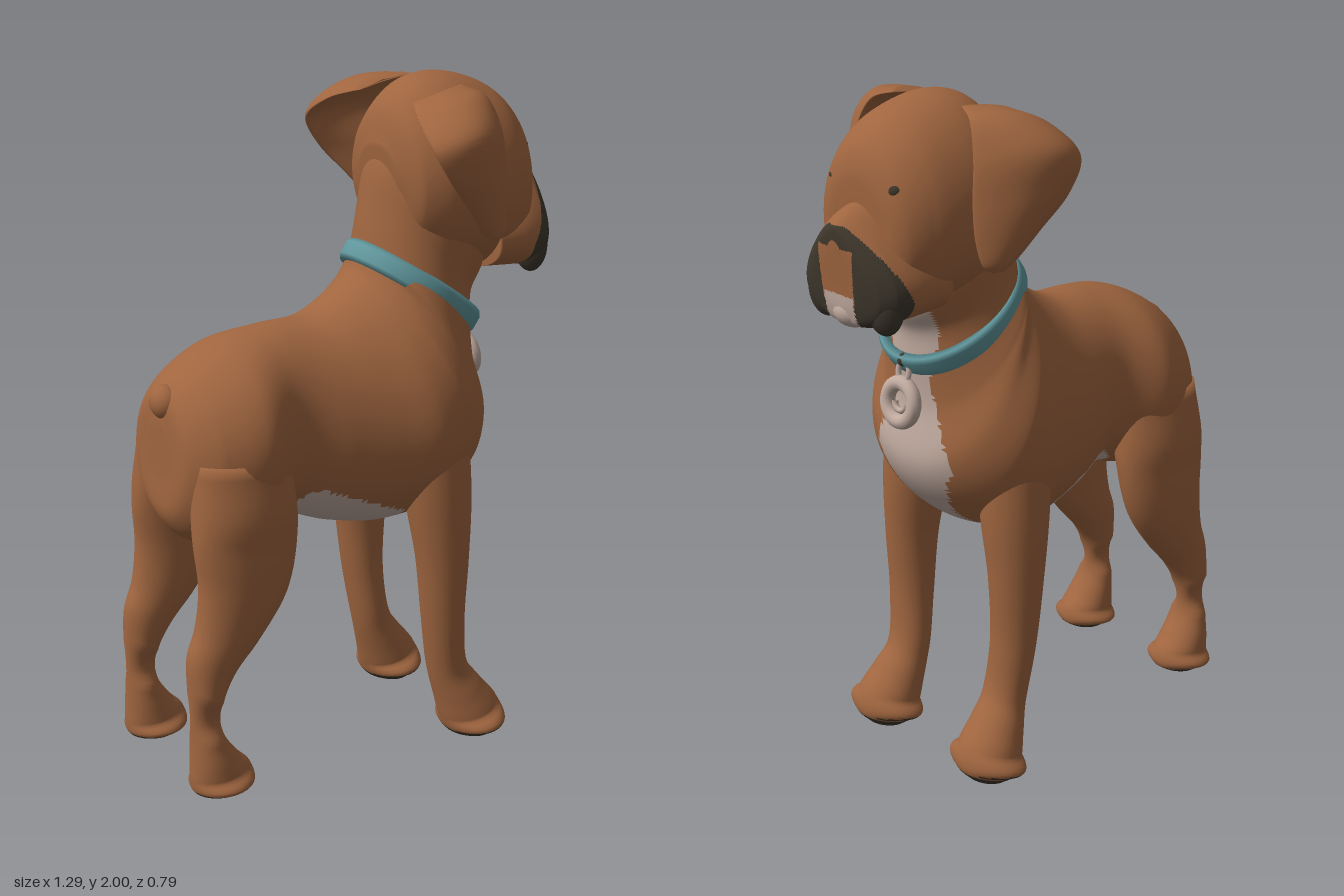
import * as THREE from 'three';

const mat = (name, color) => {
  const m = new THREE.MeshStandardMaterial({ color });
  m.name = name;
  return m;
};

// Smooth skin through rings [ax,ay,az, bx,by,bz, halfWidth, egg, bow].
// Each ring is an oval from a to b, widened along dir; rule picks a material index per face.
function loft(rings, { dir = [0, 0, 1], steps = 60, seg = 48, rule = () => 0 } = {}) {
  const curve = (f) => new THREE.CatmullRomCurve3(rings.map((r) => new THREE.Vector3(...f(r))));
  const ca = curve((r) => r.slice(0, 3)), cb = curve((r) => r.slice(3, 6));
  const cw = curve((r) => [r[6], r[7] || 0, r[8] || 0]);
  const d = new THREE.Vector3(...dir).normalize();
  const pts = [];
  for (let i = 0; i <= steps; i++) {
    const a = ca.getPoint(i / steps), b = cb.getPoint(i / steps), w = cw.getPoint(i / steps);
    const c = a.clone().add(b).multiplyScalar(0.5), u = b.clone().sub(a).multiplyScalar(0.5);
    for (let j = 0; j < seg; j++) {
      const t = (j / seg) * Math.PI * 2, co = Math.cos(t), si = Math.sin(t);
      pts.push(c.clone().addScaledVector(u, co).addScaledVector(d, w.x * si * (1 - w.y * co) + w.z * si * si));
    }
  }
  // end caps
  for (const row of [0, steps]) {
    const m = new THREE.Vector3();
    for (let j = 0; j < seg; j++) m.addScaledVector(pts[row * seg + j], 1 / seg);
    pts.push(m);
  }
  const n = (steps + 1) * seg, faces = [];
  for (let j = 0; j < seg; j++) {
    const k = (j + 1) % seg;
    for (let i = 0; i < steps; i++) {
      const p = i * seg + j, q = i * seg + k;
      faces.push([p, p + seg, q], [q, p + seg, q + seg]);
    }
    faces.push([n, j, k], [n + 1, steps * seg + k, steps * seg + j]);
  }
  // turn every face outward
  let vol = 0;
  for (const [p, q, r] of faces) vol += pts[p].dot(pts[q].clone().cross(pts[r]));
  const buckets = [[], [], []];
  for (const f of faces) {
    if (vol < 0) f.reverse();
    const [p, q, r] = f.map((i) => pts[i]);
    const c = p.clone().add(q).add(r).divideScalar(3);
    const nor = q.clone().sub(p).cross(r.clone().sub(p)).normalize();
    buckets[rule(c, nor)].push(...f);
  }
  const g = new THREE.BufferGeometry().setFromPoints(pts);
  g.setIndex(buckets.flat());
  let start = 0;
  buckets.forEach((b, i) => {
    if (b.length) g.addGroup(start, b.length, i);
    start += b.length;
  });
  g.computeVertexNormals();
  return g;
}

// Ring in the middle plane, or offset sideways by z
const ring = (z) => ([ax, ay, bx, by, w, egg]) => [ax, ay, z ?? 0, bx, by, z ?? 0, w, egg || 0];

// Half-width of the pale chest blaze at height y
function blaze(y) {
  const t = [[0.6, 0.1], [0.8, 0.085], [0.87, 0.11], [0.97, 0.16], [1.1, 0.1], [1.2, 0.07], [1.26, 0.08], [1.32, 0.1], [1.5, 0.11]];
  for (let i = 1; i < t.length; i++) {
    if (y < t[i][0]) return THREE.MathUtils.mapLinear(y, t[i - 1][0], t[i][0], t[i - 1][1], t[i][1]);
  }
  return 0;
}

export function createModel() {
  const coat = mat('brown coat', 0x9f653f), pale = mat('pale markings', 0xc0aa9f);
  const dark = mat('dark mask', 0x3e372c), teal = mat('teal collar', 0x5f959b);
  const skin = [coat, pale, dark];
  const dog = new THREE.Group();
  const add = (name, geo, material, pos, parent = dog) => {
    const m = new THREE.Mesh(geo, material);
    m.name = name;
    if (pos) m.position.set(...pos);
    parent.add(m);
    return m;
  };

  // Torso and neck in one skin: bottom point, top point, half-width
  const bodyRule = ({ x, y, z }) => {
    const w = Math.abs(z);
    if (x > 0.22) return w < blaze(y) ? 1 : 0;
    if (x > 0.08) return w < 0.1 && y < 0.85 ? 1 : 0;
    const edge = 0.87 - 0.42 * Math.max(0, x + 0.18) - 0.8 * Math.max(0, -0.22 - x);
    return x > -0.31 && y < edge ? 1 : 0;
  };
  add('body', loft([
    [-0.615, 0.95, -0.615, 1.1, 0.06], [-0.612, 0.82, -0.6, 1.18, 0.16], [-0.54, 0.74, -0.53, 1.245, 0.24],
    [-0.4, 0.74, -0.41, 1.305, 0.28], [-0.27, 0.77, -0.27, 1.33, 0.22], [-0.1, 0.715, -0.13, 1.34, 0.25, 0.08],
    [0.06, 0.69, -0.03, 1.39, 0.285, 0.15], [0.22, 0.73, 0.03, 1.44, 0.32, 0.2], [0.34, 0.83, 0.045, 1.465, 0.31, 0.18],
    [0.4, 0.95, 0.05, 1.48, 0.275, 0.1], [0.38, 1.12, 0.055, 1.5, 0.24], [0.385, 1.25, 0.06, 1.53, 0.205],
    [0.39, 1.34, 0.075, 1.62, 0.195], [0.43, 1.42, 0.1, 1.75, 0.2], [0.42, 1.55, 0.15, 1.85, 0.18],
  ].map(ring()), { steps: 140, seg: 96, rule: bodyRule }), skin);
  add('tail', new THREE.SphereGeometry(0.05, 24, 16), coat, [-0.59, 1.155, 0]).scale.set(0.85, 1, 1.1);

  // Head
  add('head', loft([
    [0.12, 1.62, 0.1, 1.8, 0.1], [0.15, 1.52, 0.13, 1.91, 0.19, 0.1], [0.22, 1.45, 0.2, 1.98, 0.23, 0.1],
    [0.32, 1.43, 0.28, 2.0, 0.245, 0.1], [0.4, 1.42, 0.38, 1.985, 0.24, 0.08], [0.47, 1.41, 0.47, 1.945, 0.215],
    [0.52, 1.43, 0.53, 1.885, 0.18], [0.545, 1.47, 0.553, 1.82, 0.14], [0.55, 1.55, 0.556, 1.75, 0.08],
  ].map(ring()), { steps: 70, seg: 64 }), skin);

  // Muzzle with hanging lips and dark mask
  const muzzleRule = ({ x, y, z }) => {
    const w = Math.abs(z);
    if (w < 0.06 && y < 1.5 && x > 0.56) return 1;
    if (w < 0.07 - 0.15 * Math.max(0, 1.62 - y) * 0.3 && y > 1.48 && y < 1.63 && x > 0.56) return 0;
    return y < 1.69 && x > 0.53 + 0.5 * Math.max(0, y - 1.5) ? 2 : 0;
  };
  add('muzzle', loft([
    [0.4, 1.42, 0.4, 1.7, 0.19, 0.4], [0.52, 1.41, 0.52, 1.74, 0.185, 0.45], [0.575, 1.405, 0.585, 1.725, 0.172, 0.45],
    [0.607, 1.415, 0.625, 1.7, 0.14, 0.45], [0.622, 1.45, 0.637, 1.685, 0.1, 0.4], [0.63, 1.53, 0.64, 1.65, 0.04, 0.2],
  ].map(ring()), { steps: 70, seg: 96, rule: muzzleRule }), skin);
  add('chin', new THREE.SphereGeometry(0.06, 24, 16), pale, [0.575, 1.447, 0]).scale.set(0.9, 0.8, 1.05);

  for (const s of [1, -1]) {
    const side = s > 0 ? 'left' : 'right';

    // Jowl
    add(side + 'Jowl', new THREE.SphereGeometry(1, 28, 20), dark, [0.568, 1.485, s * 0.122]).scale.set(0.045, 0.085, 0.06);

    // Eye
    const eye = add(side + 'Eye', new THREE.SphereGeometry(1, 16, 12), dark, [0.528, 1.785, s * 0.13]);
    eye.scale.set(0.012, s > 0 ? 0.008 : 0.018, 0.022);
    eye.rotation.y = -s * 0.75;

    // Folded ear: back edge, front edge, half-thickness, outward bow
    add(side + 'Ear', loft([
      [0.13, 1.94, 0.14, 0.3, 1.975, 0.13, 0.02, 0, 0.02], [0.085, 1.905, 0.24, 0.335, 1.95, 0.2, 0.025, 0, 0.05],
      [0.07, 1.835, 0.34, 0.36, 1.86, 0.24, 0.028, 0, 0.07], [0.12, 1.75, 0.35, 0.372, 1.74, 0.25, 0.028, 0, 0.05],
      [0.2, 1.66, 0.325, 0.37, 1.64, 0.26, 0.024, 0, 0.03], [0.265, 1.585, 0.3, 0.355, 1.575, 0.275, 0.02, 0, 0.01],
      [0.305, 1.56, 0.295, 0.33, 1.558, 0.285, 0.01, 0, 0],
    ].map((r) => r.map((v, i) => (i === 2 || i === 5 ? v * s : v))), { dir: [-0.05, 0.35, 0.93 * s], steps: 40, seg: 40 }), skin);

    // Legs: back point, front point, sideways centre, half-width
    const leg = (name, rows) => add(name, loft(
      rows.map(([ax, ay, bx, by, z, w]) => ring(z * s)([ax, ay, bx, by, w])),
      { steps: 64, seg: 40, rule: (c, n) => (c.y < 0.06 && n.y < -0.45 ? 2 : 0) }), skin);
    leg(side + 'FrontLeg', [
      [0.06, 1.08, 0.28, 1.04, 0.19, 0.11], [0.085, 0.8, 0.285, 0.8, 0.213, 0.1], [0.115, 0.6, 0.273, 0.6, 0.228, 0.082],
      [0.14, 0.4, 0.265, 0.4, 0.225, 0.073], [0.17, 0.22, 0.285, 0.25, 0.215, 0.07], [0.195, 0.12, 0.33, 0.185, 0.222, 0.085],
      [0.21, 0.06, 0.388, 0.11, 0.228, 0.1], [0.225, 0.022, 0.4, 0.045, 0.23, 0.1], [0.255, 0.005, 0.37, 0.008, 0.23, 0.07],
    ]);
    leg(side + 'HindLeg', [
      [-0.59, 1.02, -0.3, 1.02, 0.165, 0.1], [-0.607, 0.8, -0.29, 0.79, 0.19, 0.1], [-0.598, 0.66, -0.33, 0.62, 0.2, 0.09],
      [-0.613, 0.54, -0.42, 0.49, 0.2, 0.077], [-0.64, 0.46, -0.5, 0.4, 0.2, 0.066], [-0.643, 0.36, -0.545, 0.32, 0.205, 0.06],
      [-0.64, 0.22, -0.55, 0.23, 0.207, 0.06], [-0.643, 0.14, -0.505, 0.155, 0.21, 0.074], [-0.645, 0.085, -0.465, 0.11, 0.21, 0.08],
      [-0.638, 0.05, -0.46, 0.065, 0.21, 0.08], [-0.61, 0.038, -0.49, 0.042, 0.21, 0.06],
    ]);
  }

  // Collar band
  const band = [[0.9, -0.03], [1, -0.034], [1.04, -0.02], [1.04, 0.02], [1, 0.034], [0.9, 0.03], [0.9, -0.03]];
  const collar = add('collar', new THREE.LatheGeometry(band.map((p) => new THREE.Vector2(...p)), 72), teal, [0.222, 1.375, 0]);
  collar.scale.set(0.222, 1, 0.207);
  collar.rotation.z = -0.62;

  // Hanging tag
  const tag = new THREE.Group();
  tag.name = 'tag';
  tag.position.set(0.42, 1.14, 0);
  tag.rotation.set(0, Math.PI / 2, 0.15, 'ZYX');
  dog.add(tag);
  add('tagRim', new THREE.TorusGeometry(0.055, 0.022, 12, 40), pale, [0, 0, 0], tag);
  const arc = add('tagArc', new THREE.TorusGeometry(0.024, 0.009, 8, 20, Math.PI), pale, [0, 0, 0], tag);
  arc.rotation.z = Math.PI;
  add('tagLoop', new THREE.TorusGeometry(0.022, 0.008, 8, 24), pale, [0, 0.088, 0], tag).scale.y = 1.4;
  add('collarLink', new THREE.SphereGeometry(0.02, 16, 12), dark, [0.404, 1.262, 0]);

  return dog;
}
